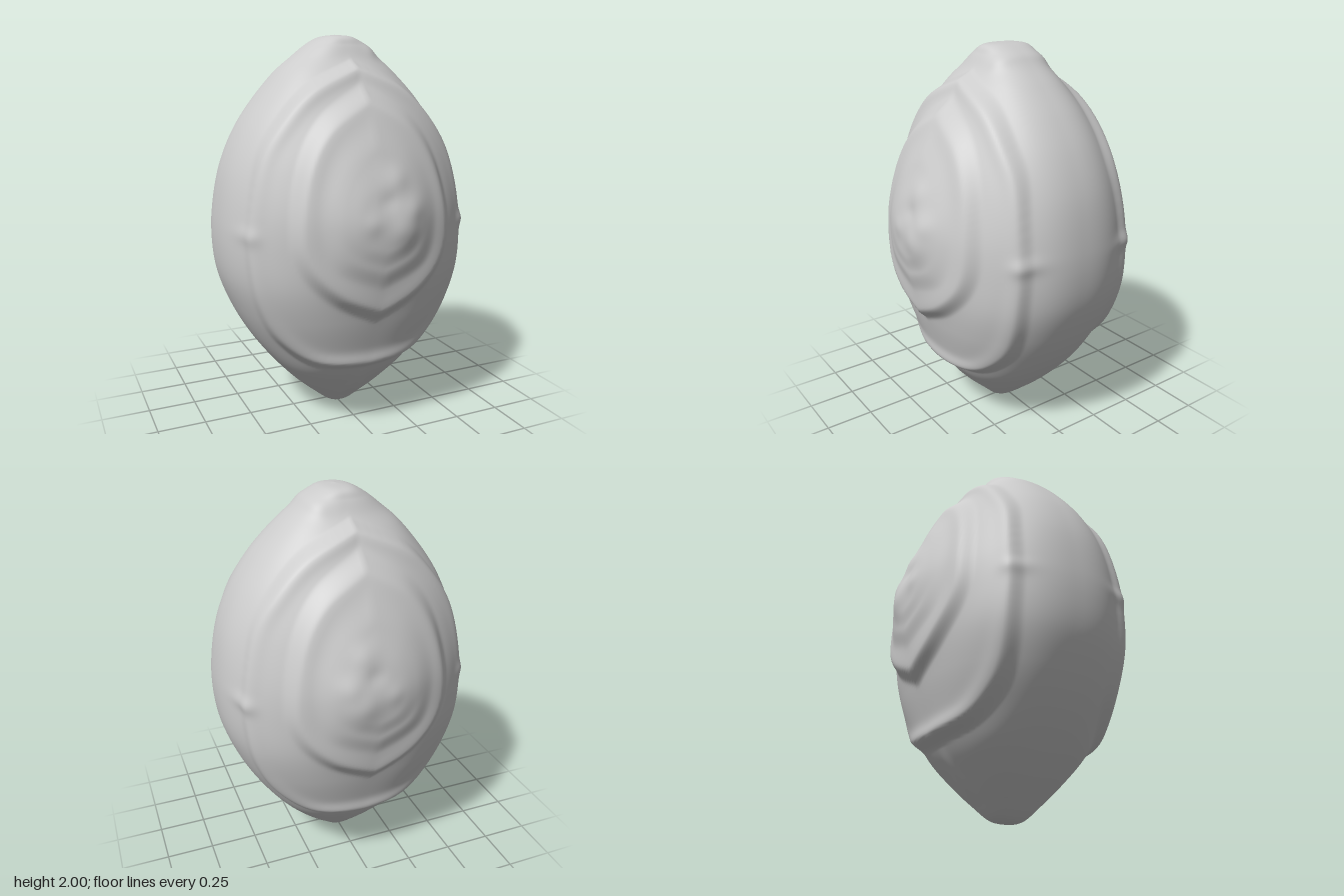
import * as THREE from 'three';

const CY = 1.1; // height of the centre of the stepped layers

// Outline of the body from bottom to top: half width, height, half depth
const profile = new THREE.CatmullRomCurve3([
  [0, 0, 0], [0.06, 0.015, 0.08], [0.155, 0.09, 0.165], [0.265, 0.19, 0.26], [0.39, 0.33, 0.37],
  [0.49, 0.47, 0.415], [0.575, 0.63, 0.46], [0.635, 0.8, 0.49], [0.655, 0.97, 0.495],
  [0.645, 1.15, 0.485], [0.605, 1.35, 0.44], [0.53, 1.53, 0.383], [0.43, 1.68, 0.318],
  [0.31, 1.81, 0.24], [0.232, 1.88, 0.19], [0.155, 1.945, 0.15], [0.085, 1.985, 0.115], [0, 2, 0],
].map((p) => new THREE.Vector3(...p)), false, 'centripetal');

// Stepped layers on both faces: half outline from top to bottom, step height (lower at
// the sides by the factor side), edge softness, rim
const layers = [
  { height: 0.038, side: 0.5, soft: 0.055, rim: 0.014, outline: [[0, 1.87], [0.24, 1.76], [0.41, 1.59], [0.52, 1.4], [0.582, 1.1], [0.577, 0.87], [0.53, 0.68], [0.43, 0.5], [0.26, 0.37], [0, 0.34]] },
  { height: 0.038, side: 0.8, soft: 0.13, rim: 0.006, outline: [[0, 1.75], [0.22, 1.61], [0.35, 1.4], [0.41, 1.1], [0.37, 0.9], [0.22, 0.74], [0, 0.63]] },
  { height: 0.016, side: 1, soft: 0.3, rim: 0.003, outline: [[0, 1.6], [0.17, 1.47], [0.26, 1.3], [0.28, 1.1], [0.22, 0.92], [0, 0.82]] },
  { height: 0.01, side: 1, soft: 0.4, rim: 0.002, outline: [[0, 1.42], [0.13, 1.35], [0.2, 1.2], [0.2, 1.08], [0.13, 0.98], [0, 0.93]] },
];
for (const layer of layers) {
  const curve = new THREE.SplineCurve(layer.outline.map(([x, y]) => new THREE.Vector2(x, y)));
  layer.polar = curve.getPoints(48).map(({ x, y }) => [Math.atan2(x, y - CY), Math.hypot(x, y - CY)]);
}

// Small raised lumps on the faces: x, y, radius, height
const lumps = [
  [0.04, 1.15, 0.15, 0.012], [-0.07, 1.13, 0.05, 0.008], [0.08, 1.09, 0.075, 0.014],
  [0.15, 1.19, 0.055, 0.01], [0.07, 1.33, 0.055, 0.01], [0.02, 1.23, 0.04, -0.008],
  [0.57, 1.06, 0.04, 0.014], [-0.57, 1.06, 0.04, 0.01],
  [0.14, 1.93, 0.045, 0.01], [-0.28, 1.82, 0.12, 0.01],
];

// Outline radius of a layer in the direction of an angle
function outlineRadius(polar, angle) {
  for (let i = 1; i < polar.length; i++) {
    const [a0, r0] = polar[i - 1];
    const [a1, r1] = polar[i];
    if (angle <= a1) return r0 + (r1 - r0) * (angle - a0) / (a1 - a0);
  }
  return polar[polar.length - 1][1];
}

// Total height of layers and lumps above the plain body
function relief(x, y) {
  const angle = Math.atan2(Math.abs(x), y - CY);
  const distance = Math.hypot(x, y - CY);
  let h = 0;
  for (const { height, side, soft, rim, polar } of layers) {
    const f = distance / outlineRadius(polar, angle);
    const strength = 1 - (1 - side) * Math.sin(angle) ** 2 * Math.min(1, f * f);
    h += strength * height * THREE.MathUtils.smoothstep(1 - f, -soft * 0.3, soft);
    h += strength * rim * Math.exp(-(((f - 1 + soft) / soft) ** 2));
  }
  for (const [lx, ly, r, height] of lumps) {
    h += height * Math.exp(-((x - lx) ** 2 + (y - ly) ** 2) / (r * r));
  }
  // shallow keel under the lower lip
  h += 0.01 * Math.exp(-((x / 0.04) ** 2) - (((y - 0.2) / 0.1) ** 2));
  return h;
}

const signedPower = (v, p) => Math.sign(v) * Math.abs(v) ** p;

// Skin lofted through rounded cross-sections, pushed outwards by the relief
function bodyGeometry(rings = 230, sides = 260) {
  const positions = [];
  const index = [];
  for (let i = 0; i <= rings; i++) {
    const { x: w, y, z: d } = profile.getPoint(i / rings);
    for (let j = 0; j < sides; j++) {
      const a = (j / sides) * Math.PI * 2;
      const x = w * signedPower(Math.cos(a), 0.82);
      const z = d * signedPower(Math.sin(a), 0.82);
      const nx = Math.cos(a) * Math.abs(Math.cos(a)) * d;
      const nz = Math.sin(a) * w;
      const length = Math.hypot(nx, nz) || 1;
      const h = w > 0.001 ? relief(x, y) * Math.min(1, w / 0.1) : 0;
      positions.push(x + h * nx / length, y, z + h * nz / length);
      if (i < rings) {
        const k = (j + 1) % sides;
        const p = i * sides;
        const q = p + sides;
        index.push(p + j, q + j, p + k, p + k, q + j, q + k);
      }
    }
  }
  const geometry = new THREE.BufferGeometry();
  geometry.setAttribute('position', new THREE.Float32BufferAttribute(positions, 3));
  geometry.setIndex(index);
  geometry.computeVertexNormals();
  return geometry;
}

export function createModel() {
  const model = new THREE.Group();
  model.name = 'layeredPod';
  const material = new THREE.MeshStandardMaterial({ color: 0xcccccc });
  const body = new THREE.Mesh(bodyGeometry(), material);
  body.name = 'podBody';
  model.add(body);
  return model;
}
